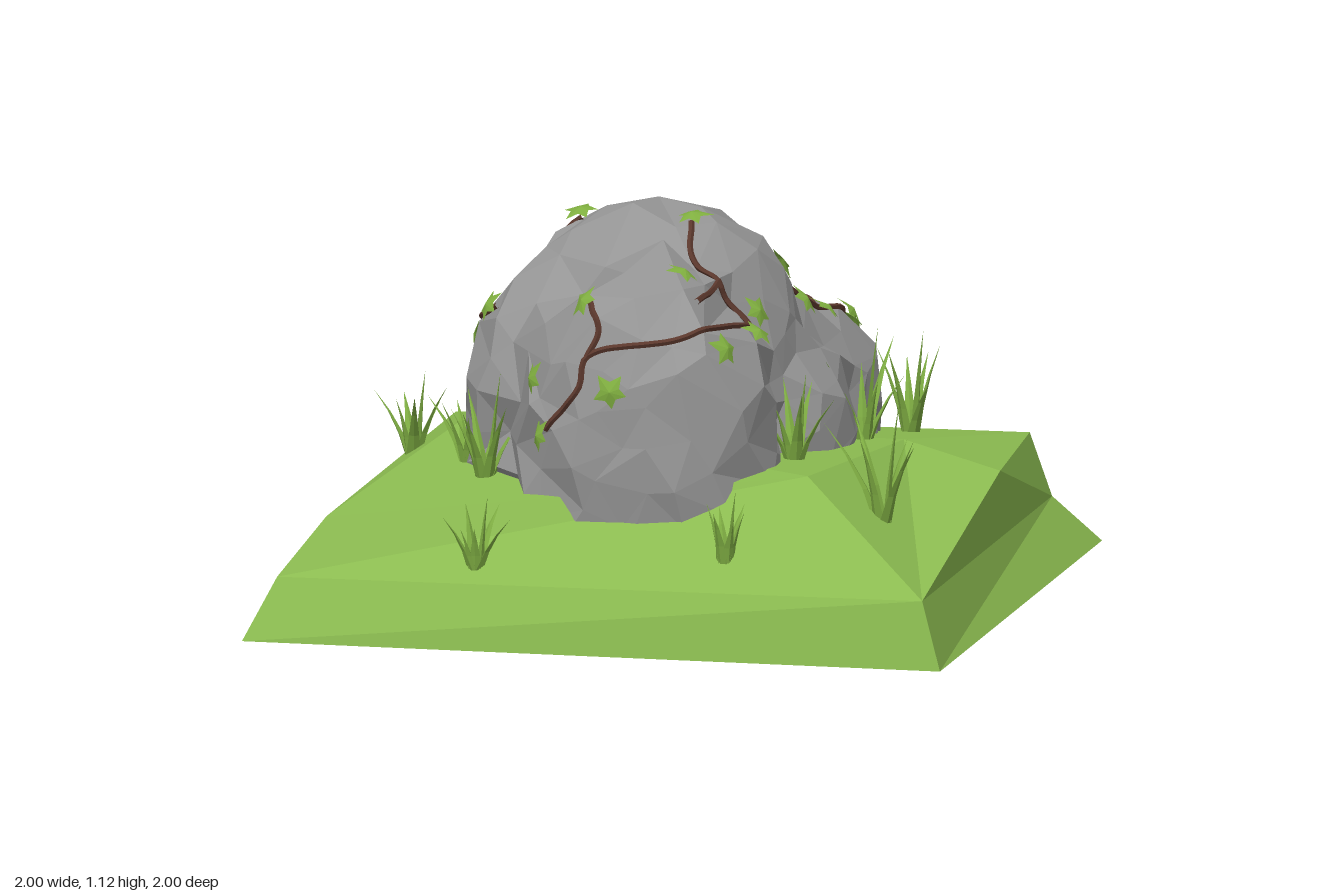
import * as THREE from 'three';
import { mergeGeometries } from 'three/addons/utils/BufferGeometryUtils.js';

const mat = (color, side = THREE.FrontSide) =>
  new THREE.MeshStandardMaterial({ color, side, flatShading: true, roughness: 1 });
const V = (p) => new THREE.Vector3(...p);

let seed = 7;
const rand = (a, b) => {
  seed = (seed * 16807) % 2147483647;
  return a + (b - a) * (seed / 2147483647);
};

// Faceted hill: square foot, low rim, crest points
function groundGeometry() {
  const points = [
    -1, 0, -1, 1, 0, -1, 1, 0, 1, -1, 0, 1,
    -0.93, 0.15, -0.94, 0.88, 0.14, -0.9, 0.94, 0.19, 0.96, -0.92, 0.17, 0.91,
    -0.8, 0.33, -0.78, 0.83, 0.33, -0.84, 0.95, 0.39, 0.04,
    0.54, 0.47, 0.65, -0.8, 0.33, 0.82, -0.6, 0.46, -0.07, 0.63, 0.43, -0.15,
  ];
  const faces = [
    0, 1, 2, 0, 2, 3, // underside
    3, 2, 6, 3, 6, 7, 2, 1, 5, 2, 5, 6, 1, 0, 4, 1, 4, 5, 0, 3, 7, 0, 7, 4, // foot
    7, 6, 11, 7, 11, 12, 6, 5, 10, 5, 9, 10, 5, 4, 8, 5, 8, 9, 4, 7, 12, 4, 12, 8, // slopes
    8, 12, 13, 12, 11, 13, 13, 11, 14, 11, 6, 14, 6, 10, 14, 10, 9, 14, 9, 8, 14, 8, 13, 14, // top
  ];
  const g = new THREE.BufferGeometry();
  g.setAttribute('position', new THREE.Float32BufferAttribute(points, 3));
  g.setIndex(faces);
  const flat = g.toNonIndexed();
  flat.computeVertexNormals();
  return flat;
}

// Boulder lumps: centre, radii
const CENTRE = V([0, 0.45, 0]);
const LUMPS = [
  [[-0.03, 0.55, 0.06], [0.42, 0.57, 0.38]], // summit
  [[-0.28, 0.52, 0.2], [0.26, 0.42, 0.28]], // left shoulder
  [[0.05, 0.5, 0.5], [0.37, 0.5, 0.29]], // front lump
  [[0.12, 0.45, -0.45], [0.37, 0.33, 0.34]], // back lump
  [[0.25, 0.45, -0.03], [0.27, 0.3, 0.3]], // right foot
  [[0.02, 0.5, -0.2], [0.38, 0.43, 0.32]], // saddle
];
const inside = (p) => LUMPS.some(([c, r]) =>
  Math.abs((p.x - c[0]) / r[0]) ** 2.4 + Math.abs((p.y - c[1]) / r[1]) ** 2.4 +
  Math.abs((p.z - c[2]) / r[2]) ** 2.4 < 1);

// Every sphere vertex is pushed out to the union of the lumps, then roughened
function rockGeometry() {
  const g = new THREE.IcosahedronGeometry(1, 5);
  const pos = g.attributes.position;
  const d = new THREE.Vector3(), p = new THREE.Vector3();
  for (let i = 0; i < pos.count; i++) {
    d.fromBufferAttribute(pos, i);
    const { x, y, z } = d;
    d.x += 0.07 * Math.sin(17 * y + 11 * z);
    d.y += 0.07 * Math.sin(19 * z + 13 * x);
    d.z = 1.4 * (z + 0.06 * Math.sin(16 * x + 12 * y));
    d.normalize();
    let t = 1.2;
    while (t > 0.1 && !inside(p.copy(CENTRE).addScaledVector(d, t))) t -= 0.004;
    t *= 1 + 0.022 * Math.sin(13 * x + 9 * y) * Math.sin(11 * z - 7 * y + 1);
    p.copy(CENTRE).addScaledVector(d, t);
    pos.setXYZ(i, p.x, Math.max(p.y, 0.28), p.z);
  }
  g.computeVertexNormals();
  return g;
}

// Five-lobed leaf with a raised middle, facing +z, stalk end at -y
function leafGeometry() {
  const radii = [0.062, 0.03, 0.055, 0.028, 0.046, 0.025, 0.046, 0.028, 0.055, 0.03];
  const pts = radii.map((r, i) => {
    const a = Math.PI / 2 + (i * Math.PI) / 5;
    return [r * Math.cos(a), r * Math.sin(a), i % 2 ? 0.004 : -0.004];
  });
  const tri = pts.flatMap((p, i) => [0, 0, 0.014, ...p, ...pts[(i + 1) % pts.length]]);
  const g = new THREE.BufferGeometry();
  g.setAttribute('position', new THREE.Float32BufferAttribute(tri, 3));
  g.computeVertexNormals();
  return g;
}

// Tapered blade that droops outward along +x
function bladeGeometry(height, lean, width) {
  const g = new THREE.ConeGeometry(width, height, 4, 3);
  g.translate(0, height / 2, 0);
  g.scale(0.5, 1, 1);
  const pos = g.attributes.position;
  for (let i = 0; i < pos.count; i++) {
    const k = pos.getY(i) / height;
    pos.setX(i, pos.getX(i) + lean * height * (0.6 * k + 0.4 * k * k));
    pos.setY(i, pos.getY(i) - 0.15 * lean * height * k * k);
  }
  return g;
}

// Vine paths, each hugging the boulder
const VINES = [
  [[0.1, 1.11, 0.18], [0.13, 1.04, 0.31], [0.22, 0.97, 0.38], [0.35, 0.89, 0.43], [0.3, 0.88, 0.55],
    [0.18, 0.84, 0.68], [-0.07, 0.79, 0.72], [-0.09, 0.71, 0.75], [-0.19, 0.59, 0.74]],
  [[-0.07, 0.79, 0.72], [-0.04, 0.85, 0.68], [-0.08, 0.92, 0.63]],
  [[0.22, 0.97, 0.38], [0.22, 0.96, 0.5], [0.2, 0.93, 0.58]],
  [[0.05, 0.98, -0.22], [0.2, 0.93, -0.18], [0.3, 0.87, -0.25], [0.33, 0.76, -0.42],
    [0.35, 0.7, -0.55], [0.32, 0.66, -0.68], [0.14, 0.62, -0.75], [0.1, 0.48, -0.78]],
  [[0.33, 0.76, -0.42], [0.26, 0.77, -0.5], [0.15, 0.77, -0.54]],
  [[-0.25, 1.03, -0.01], [-0.38, 0.92, -0.02], [-0.48, 0.8, 0.1], [-0.49, 0.79, 0.2], [-0.44, 0.86, 0.31]],
  [[-0.48, 0.8, 0.1], [-0.45, 0.72, -0.08], [-0.36, 0.66, -0.33]],
];
const LEAVES = [
  [0.1, 1.11, 0.18], [0.34, 0.92, 0.31], [0.14, 0.97, 0.51], [0.37, 0.84, 0.53], [0.28, 0.8, 0.64],
  [0.01, 0.7, 0.75], [-0.08, 0.92, 0.64], [-0.22, 0.71, 0.66], [-0.19, 0.57, 0.74],
  [0.05, 0.98, -0.21], [0.27, 0.94, -0.19], [0.37, 0.85, -0.25], [0.17, 0.84, -0.4], [0.15, 0.76, -0.54],
  [0.4, 0.72, -0.55], [0.37, 0.66, -0.68], [0.13, 0.63, -0.74], [0.1, 0.48, -0.78], [0.38, 0.76, -0.4],
  [-0.25, 1.03, -0.01], [-0.44, 0.84, 0.31], [-0.48, 0.72, 0.14], [-0.45, 0.7, -0.08], [-0.36, 0.64, -0.33],
];
// Grass clumps: x, z, blade height
const CLUMPS = [
  [-0.33, -0.52, 0.26], [-0.3, -0.4, 0.26], [0.0, -0.77, 0.22], [0.54, -0.62, 0.3], [0.52, -0.12, 0.33],
  [0.43, 0.34, 0.26], [0.73, 0.55, 0.33], [0.35, 0.85, 0.2], [-0.36, 0.87, 0.2], [-0.74, 0, 0.24],
  [-0.5, 0.35, 0.27], [-0.42, 0.5, 0.3],
];

export function createModel() {
  const model = new THREE.Group();
  model.name = 'ivyBoulder';
  const add = (geometry, material, name, parent = model) => {
    const m = new THREE.Mesh(geometry, material);
    m.name = name;
    parent.add(m);
    return m;
  };
  const group = (name) => {
    const g = new THREE.Group();
    g.name = name;
    model.add(g);
    return g;
  };
  const ground = add(groundGeometry(), mat(0x8bbb50), 'ground');
  const rock = add(rockGeometry(), mat(0x959595), 'boulder');

  // Nearest boulder surface along the line from its heart through p
  const ray = new THREE.Raycaster();
  const onRock = (p, lift) => {
    const d = p.clone().sub(CENTRE).normalize();
    ray.set(CENTRE.clone().addScaledVector(d, 2), d.clone().negate());
    const hit = ray.intersectObject(rock)[0];
    return { point: hit.point.addScaledVector(hit.face.normal, lift), normal: hit.face.normal };
  };

  // Vines
  const vines = group('vines');
  const bark = mat(0x5a372c);
  for (const path of VINES) {
    const n = path.length * 4;
    const rough = new THREE.CatmullRomCurve3(path.map(V)).getPoints(n);
    const curve = new THREE.CatmullRomCurve3(rough.map((p) => onRock(p, 0.006).point));
    add(new THREE.TubeGeometry(curve, n * 2, 0.009, 5), bark, 'vine', vines);
  }

  // Leaves
  const leaves = group('leaves');
  const leafShape = leafGeometry();
  const leafGreen = mat(0x7fae3f, THREE.DoubleSide);
  for (const p of LEAVES) {
    const { point, normal } = onRock(V(p), 0.024);
    const leaf = add(leafShape, leafGreen, 'leaf', leaves);
    leaf.position.copy(point);
    leaf.lookAt(point.clone().add(normal));
    leaf.rotateZ(rand(-2, 2));
    leaf.rotateX(rand(-0.25, 0.25));
  }

  // Grass
  const grass = group('grass');
  const grassGreen = mat(0x7dab42);
  for (const [x, z, h] of CLUMPS) {
    ray.set(V([x, 2, z]), V([0, -1, 0]));
    const y = ray.intersectObject(ground)[0].point.y;
    const blades = [];
    for (let i = 0; i < 7; i++) {
      const tall = h * (i === 0 ? 1.05 : rand(0.6, 0.95));
      const blade = bladeGeometry(tall, i === 0 ? 0.1 : rand(0.25, 0.6), 0.022);
      blade.translate(0.012, 0, 0);
      blade.rotateY((i / 6) * Math.PI * 2 + rand(-0.4, 0.4));
      blades.push(blade);
    }
    add(mergeGeometries(blades), grassGreen, 'grassClump', grass).position.set(x, y - 0.02, z);
  }
  return model;
}
